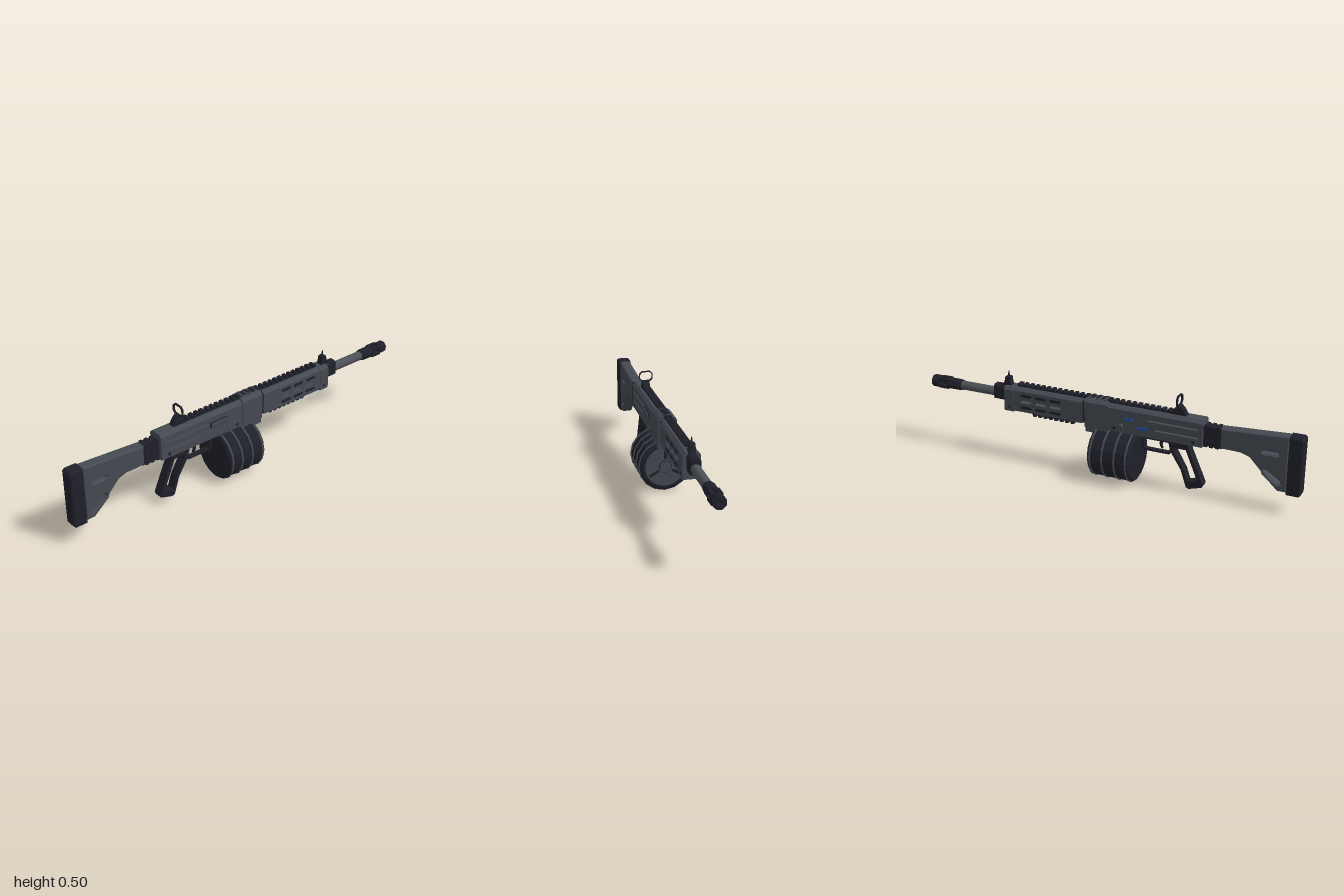
import * as THREE from 'three';

const mat = (name, color) => {
  const m = new THREE.MeshStandardMaterial({ color, flatShading: true });
  m.name = name;
  return m;
};

export function createModel() {
  const root = new THREE.Group();
  root.name = 'model';
  const grey = mat('bodyGrey', 0x454a52);
  const dark = mat('darkPolymer', 0x20202a);
  const steel = mat('barrelSteel', 0x4d5158);
  const blue = mat('blueMark', 0x2450b0);

  const add = (name, geo, m) => {
    const mesh = new THREE.Mesh(geo, m);
    mesh.name = name;
    root.add(mesh);
    return mesh;
  };
  const box = (name, m, x0, x1, y0, y1, z0, z1) => {
    const g = new THREE.BoxGeometry(x1 - x0, y1 - y0, z1 - z0);
    g.translate((x0 + x1) / 2, (y0 + y1) / 2, (z0 + z1) / 2);
    return add(name, g, m);
  };
  const path = (pts) => pts.map(([x, y]) => new THREE.Vector2(x, y));
  // six-cornered slot outline
  const slot = (x, y, len, h, a = 0) => {
    const l = len / 2, k = h / 2;
    return [[-l, 0], [-l + k, -k], [l - k, -k], [l, 0], [l - k, k], [-l + k, k]]
      .map(([u, v]) => [x + u * Math.cos(a) - v * Math.sin(a), y + u * Math.sin(a) + v * Math.cos(a)]);
  };
  const extrude = (pts, holes, depth, bevel = 0) => {
    const s = new THREE.Shape(path(pts));
    holes.forEach((h) => s.holes.push(new THREE.Path(path(h))));
    const g = new THREE.ExtrudeGeometry(s, {
      depth: depth - 2 * bevel, bevelEnabled: bevel > 0, bevelThickness: bevel,
      bevelSize: bevel, bevelOffset: -bevel, bevelSegments: 1,
    });
    return g.translate(0, 0, -depth / 2 + bevel);
  };
  // side outline, given thickness across z
  const side = (name, m, pts, holes, w, bevel) => add(name, extrude(pts, holes, w, bevel), m);
  // cross-section (z, y) swept along x
  const along = (name, m, pts, holes, x0, x1) =>
    add(name, extrude(pts, holes, x1 - x0).rotateY(Math.PI / 2).translate((x0 + x1) / 2, 0, 0), m);
  const rect = (x0, x1, y0, y1) => [[x0, y0], [x1, y0], [x1, y1], [x0, y1]];
  // cylinder lying along x
  const rod = (name, m, x0, x1, y, r, n, r2 = r) =>
    add(name, new THREE.CylinderGeometry(r2, r, x1 - x0, n).rotateZ(-Math.PI / 2)
      .translate((x0 + x1) / 2, y, 0), m);
  const cap = (w, y0, y1, c) => [[-w, y0], [w, y0], [w, y1 - c], [w - c, y1], [c - w, y1], [-w, y1 - c]];

  // stock
  side('buttPad', dark, [[-1, 0.11], [-0.99, 0.1], [-0.93, 0.1], [-0.93, 0.395], [-0.99, 0.395], [-1, 0.385]], [], 0.068, 0.006);
  side('stock', grey,
    [[-0.93, 0.11], [-0.885, 0.11], [-0.745, 0.255], [-0.7, 0.27], [-0.6, 0.272], [-0.6, 0.373], [-0.93, 0.392]],
    [slot(-0.845, 0.295, 0.085, 0.016), slot(-0.855, 0.175, 0.11, 0.024, 0.58)], 0.056, 0.006);
  box('stockConnector', dark, -0.61, -0.51, 0.27, 0.37, -0.025, 0.025);
  for (const x of [-0.585, -0.555, -0.525]) box('connectorRib', dark, x - 0.008, x + 0.008, 0.266, 0.374, -0.028, 0.028);

  // receiver
  side('receiver', grey, rect(-0.515, -0.02, 0.265, 0.375),
    [slot(-0.365, 0.352, 0.26, 0.008), slot(-0.385, 0.308, 0.22, 0.008)], 0.084);
  along('receiverTop', grey, cap(0.042, 0.375, 0.4, 0.015), [], -0.515, -0.02);
  box('portFrame', dark, -0.228, -0.122, 0.328, 0.358, 0.042, 0.046);
  box('portCover', grey, -0.222, -0.126, 0.333, 0.354, 0.046, 0.05);
  for (const x of [-0.47, -0.06]) {
    const pin = new THREE.CylinderGeometry(0.008, 0.008, 0.09, 8).rotateX(Math.PI / 2).translate(x, 0.285, 0);
    add('receiverPin', pin, dark);
  }
  box('upperMark', blue, -0.16, -0.115, 0.336, 0.348, -0.046, -0.042);
  box('lowerMark', blue, -0.235, -0.185, 0.3, 0.312, -0.046, -0.042);
  // charging handle
  const knob = (r, z0, z1) => add('chargingHandle',
    new THREE.CylinderGeometry(r, r, z1 - z0, 10).rotateX(Math.PI / 2).translate(-0.1, 0.304, (z0 + z1) / 2), grey);
  knob(0.008, -0.06, -0.04);
  knob(0.016, -0.07, -0.058);

  // centre block and magazine well
  along('centreBlock', grey, cap(0.046, 0.262, 0.41, 0.016), [], -0.025, 0.1);
  box('magazineWell', grey, -0.025, 0.095, 0.238, 0.268, -0.044, 0.044);
  box('magazineLatch', dark, 0.09, 0.102, 0.247, 0.266, -0.014, 0.014);
  for (const x of [0, 0.037, 0.074]) box('blockRib', grey, x - 0.009, x + 0.009, 0.4, 0.416, -0.026, 0.026);

  // handguard
  const columns = [0.265, 0.347, 0.43];
  box('handguardSeam', dark, 0.095, 0.12, 0.28, 0.39, -0.037, 0.037);
  side('handguard', grey, rect(0.115, 0.5, 0.275, 0.375), columns.map((x) => slot(x, 0.33, 0.062, 0.014)), 0.08);
  along('handguardTop', grey, cap(0.04, 0.375, 0.4, 0.015), [], 0.115, 0.5);
  along('handguardCollar', grey, cap(0.043, 0.27, 0.398, 0.015), [], 0.5, 0.555);
  for (const z of [-0.04, 0.04]) {
    for (const x of columns) for (const y of [0.363, 0.3]) {
      add('ventSlot', extrude(slot(x, y, 0.066, 0.014), [], 0.004).translate(0, 0, z), dark);
    }
    box('guardScrew', dark, 0.52, 0.532, 0.286, 0.298, z * 1.07 - 0.002, z * 1.07 + 0.002);
  }

  // toothed rails
  box('topRail', dark, -0.35, 0.49, 0.395, 0.406, -0.014, 0.014);
  for (let i = 0; i < 27; i++) {
    const x = -0.335 + i * 0.0313;
    box('topRailTooth', dark, x - 0.009, x + 0.009, 0.404, 0.417, -0.018, 0.018);
  }
  box('lowerRail', dark, 0.17, 0.41, 0.263, 0.278, -0.014, 0.014);
  for (let i = 0; i < 8; i++) {
    const x = 0.183 + i * 0.0306;
    box('lowerRailTooth', dark, x - 0.009, x + 0.009, 0.25, 0.266, -0.018, 0.018);
  }

  // gas block, barrel and muzzle
  const by = 0.346;
  along('gasBlock', dark, cap(0.025, 0.318, 0.393, 0.01), [], 0.55, 0.625);
  rod('barrel', steel, 0.61, 0.84, by, 0.024, 14);
  rod('muzzleCollar', dark, 0.825, 0.845, by, 0.028, 8, 0.031);
  rod('muzzleRear', dark, 0.845, 0.905, by, 0.031, 8);
  for (const y of [-1, 1]) for (const z of [-1, 1]) {
    box('muzzleBar', dark, 0.9, 0.96, by + y * 0.018 - 0.008, by + y * 0.018 + 0.008, z * 0.018 - 0.008, z * 0.018 + 0.008);
  }
  const ring = (r, n, cy) => Array.from({ length: n }, (_, i) => {
    const a = ((i + 0.5) / n) * Math.PI * 2;
    return [r * Math.cos(a), cy + r * Math.sin(a)];
  });
  along('muzzleTip', dark, ring(0.032, 8, by), [ring(0.014, 12, by)], 0.955, 1);

  // sights
  side('rearSightBase', dark, [[-0.425, 0.398], [-0.342, 0.398], [-0.362, 0.432], [-0.375, 0.446], [-0.39, 0.446], [-0.405, 0.432]], [], 0.034);
  const octagon = (w, y0, y1, c) => [[-w, y0 + c], [c - w, y0], [w - c, y0], [w, y0 + c], [w, y1 - c], [w - c, y1], [c - w, y1], [-w, y1 - c]];
  along('rearSightLoop', dark, octagon(0.036, 0.443, 0.497, 0.014), [octagon(0.031, 0.448, 0.492, 0.012)], -0.386, -0.376);
  side('frontSightBase', dark, [[0.525, 0.393], [0.585, 0.393], [0.567, 0.41], [0.56, 0.442], [0.535, 0.442], [0.53, 0.41]], [], 0.03);
  add('frontSightPost', new THREE.CylinderGeometry(0.002, 0.007, 0.035, 6).translate(0.547, 0.453, 0), dark);

  // drum magazine
  const dy = 0.135;
  rod('drum', dark, -0.165, 0.045, dy, 0.128, 16);
  rod('drumFrontRim', dark, 0.045, 0.054, dy, 0.128, 16, 0.115);
  rod('drumBackRim', dark, -0.172, -0.165, dy, 0.115, 16, 0.128);
  for (const x of [-0.155, -0.095, -0.03, 0.035]) rod('drumRib', grey, x - 0.004, x + 0.004, dy, 0.133, 16);
  rod('drumFace', grey, 0.05, 0.057, dy, 0.102, 32);
  rod('drumHubRing', dark, 0.056, 0.06, dy, 0.033, 20);
  rod('drumHub', grey, 0.058, 0.064, dy, 0.03, 20);
  for (let i = 0; i < 3; i++) {
    const g = new THREE.BoxGeometry(0.006, 0.052, 0.013).translate(0.0565, 0.067, 0);
    add('drumSpoke', g.rotateX((i * Math.PI * 2) / 3).translate(0, dy, 0), dark);
  }

  // grip, trigger guard and trigger
  side('grip', dark,
    [[-0.435, 0.262], [-0.45, 0.22], [-0.52, 0.06], [-0.515, 0.045], [-0.45, 0.025], [-0.435, 0.03], [-0.405, 0.12], [-0.35, 0.205], [-0.335, 0.262]],
    [[[-0.428, 0.228], [-0.492, 0.075], [-0.44, 0.062], [-0.42, 0.12], [-0.37, 0.205], [-0.368, 0.228]]], 0.046);
  side('triggerGuard', dark,
    [[-0.355, 0.266], [-0.35, 0.195], [-0.34, 0.183], [-0.21, 0.183], [-0.195, 0.198], [-0.195, 0.266]],
    [[[-0.342, 0.244], [-0.34, 0.2], [-0.333, 0.193], [-0.214, 0.193], [-0.205, 0.202], [-0.205, 0.244]]], 0.026);
  side('trigger', dark, [[-0.305, 0.25], [-0.298, 0.222], [-0.304, 0.205], [-0.294, 0.208], [-0.286, 0.225], [-0.288, 0.25]], [], 0.012);

  return root;
}
